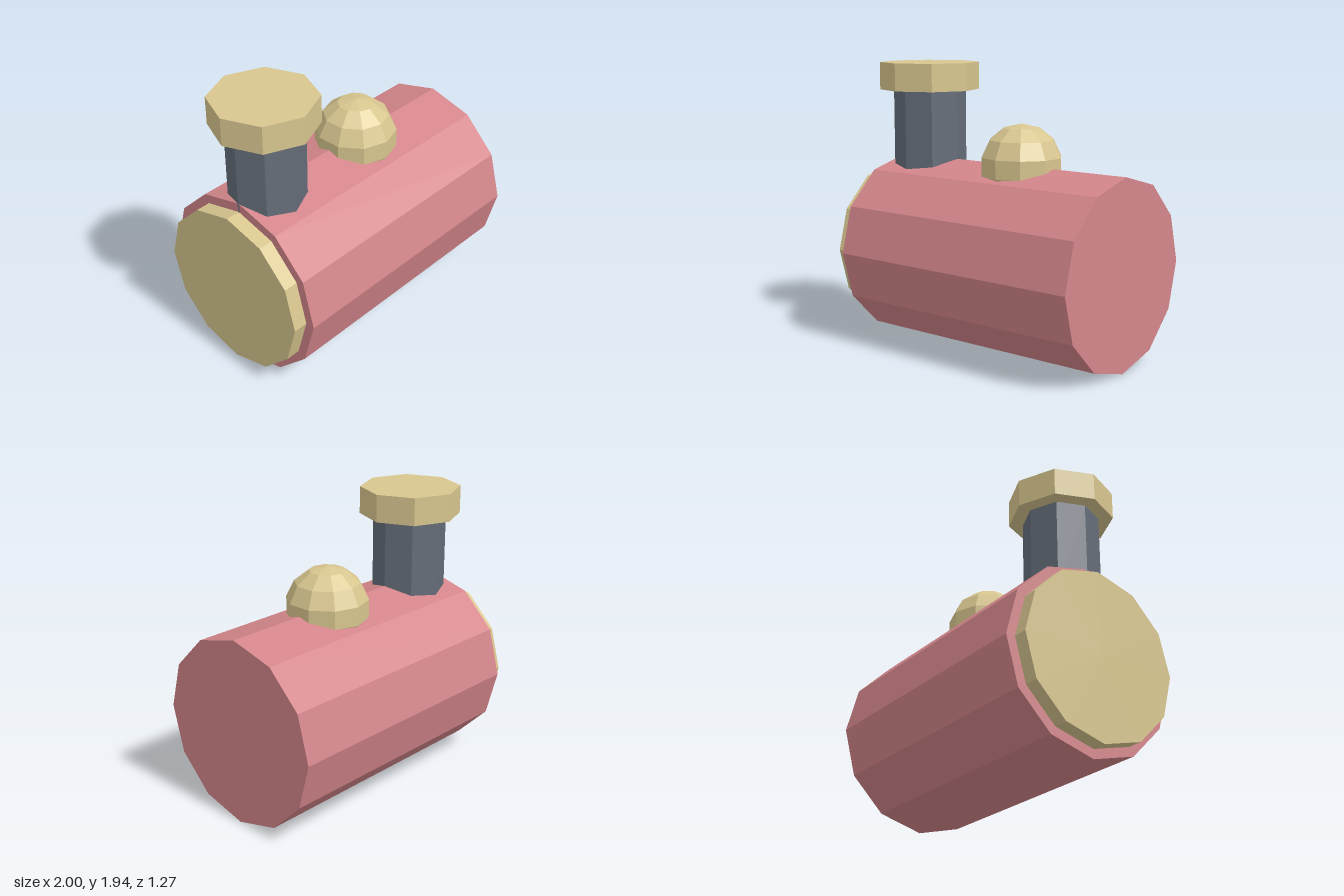
import * as THREE from 'three';

const flat = (name, color) => {
  const m = new THREE.MeshStandardMaterial({ color, flatShading: true });
  m.name = name;
  return m;
};

export function createModel() {
  const red = flat('rosyRed', 0xd4868b);
  const brass = flat('brass', 0xd8c68f);
  const slate = flat('slate', 0x656d79);
  const group = new THREE.Group();
  group.name = 'boiler';

  const add = (name, geometry, material, x, y) => {
    const mesh = new THREE.Mesh(geometry, material);
    mesh.name = name;
    mesh.position.set(x, y, 0);
    group.add(mesh);
  };

  const axisY = 0.637; // height of the barrel's axis

  // Twelve-sided barrel lying along x, with a brass plate on its end
  add('barrel', new THREE.CylinderGeometry(0.637, 0.637, 1.9, 12).rotateZ(Math.PI / 2), red, 0.05, axisY);
  add('endPlate', new THREE.CylinderGeometry(0.573, 0.573, 0.1, 12).rotateZ(Math.PI / 2), brass, -0.95, axisY);

  // Eight-sided chimney, sunk into the barrel, and its wider cap
  add('chimney', new THREE.CylinderGeometry(0.253, 0.253, 0.65, 8), slate, -0.65, 1.425);
  add('chimneyCap', new THREE.CylinderGeometry(0.348, 0.348, 0.19, 8), brass, -0.652, 1.845);

  // Faceted dome, half sunk into the barrel's top edge
  add('steamDome', new THREE.SphereGeometry(0.283, 10, 7).rotateY(Math.PI / 2), brass, 0.173, 1.274);

  return group;
}
